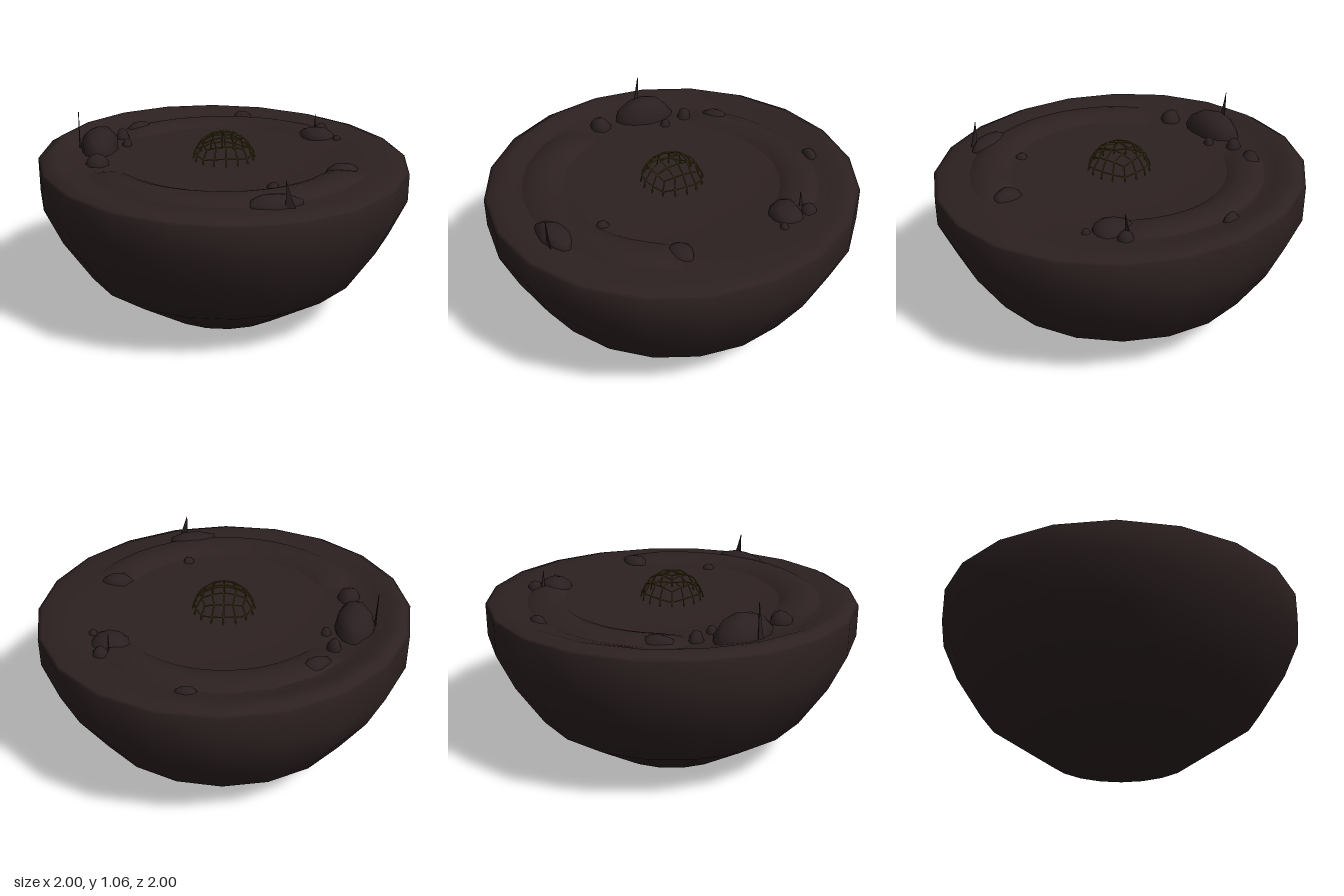
import * as THREE from 'three';
import { mergeGeometries, mergeVertices } from 'three/addons/utils/BufferGeometryUtils.js';

const earth = new THREE.MeshStandardMaterial({ name: 'dark earth', color: 0x2d2121 });
const stone = new THREE.MeshStandardMaterial({ name: 'dark stone', color: 0x2b2021 });
const wire = new THREE.MeshStandardMaterial({ name: 'dull brass', color: 0x50461a });
const blade = new THREE.MeshStandardMaterial({ name: 'shard stone', color: 0x2a1f20, side: THREE.DoubleSide });

const ramp = (a, b, v) => THREE.MathUtils.smoothstep(v, a, b);

// Ground height: sunken plain inside a tilted rolling lip
function groundHeight(x, z) {
  const r = Math.hypot(x, z);
  const plain = 0.845 + 0.01 * ramp(0.4, 0.85, r);
  const rim = 0.85 - 0.015 * x - 0.02 * z;
  const lip = rim + (0.027 - 0.0125 * x) * (1 - ramp(0.93, 1, r));
  return THREE.MathUtils.lerp(plain, lip, ramp(0.76, 0.93, r));
}

// Drop uvs and normals, weld, and shade smoothly
function smooth(geo) {
  geo.deleteAttribute('uv');
  geo.deleteAttribute('normal');
  const welded = mergeVertices(geo, 1e-4);
  welded.computeVertexNormals();
  return welded;
}

// Twenty-sided bowl of earth with its modelled top
function buildIsland() {
  const outside = [[0, 0], [0.39, 0], [0.76, 0.25], [0.91, 0.48], [1, 0.68]];
  const top = [1, 0.98, 0.95, 0.91, 0.85, 0.78, 0.6, 0.4, 0];
  const profile = [...outside, ...top.map(r => [r, 0.85])].map(p => new THREE.Vector2(...p));
  const geo = new THREE.LatheGeometry(profile, 20);
  const pos = geo.attributes.position;
  for (let i = 0; i < pos.count; i++) {
    if (pos.getY(i) > 0.8) pos.setY(i, groundHeight(pos.getX(i), pos.getZ(i)));
  }
  const mesh = new THREE.Mesh(smooth(geo), earth);
  mesh.name = 'island';
  return mesh;
}

// Raised crescent: a low mound swept along an arc, sinking at both ends
function buildCrescent(name, from, to, inner, outer, height) {
  const along = 16, across = 6;
  const geo = new THREE.PlaneGeometry(1, 1, across, along);
  const pos = geo.attributes.position;
  for (let i = 0; i < pos.count; i++) {
    const u = pos.getX(i) + 0.5, t = 0.5 - pos.getY(i);
    const angle = THREE.MathUtils.degToRad(THREE.MathUtils.lerp(from, to, t));
    const end = ramp(0, 0.1, t) * ramp(0, 0.1, 1 - t);
    const r = THREE.MathUtils.lerp(inner, outer, u);
    const x = r * Math.cos(angle), z = r * Math.sin(angle);
    const rise = Math.pow(Math.sin(Math.PI * u), 0.7) * end;
    pos.setXYZ(i, x, groundHeight(x, z) - 0.006 + (height + 0.006) * rise, z);
  }
  const mesh = new THREE.Mesh(smooth(geo), earth);
  // face the surface upwards
  if (mesh.geometry.attributes.normal.getY(40) < 0) {
    const index = mesh.geometry.index;
    for (let i = 0; i < index.count; i += 3) {
      const a = index.getX(i);
      index.setX(i, index.getX(i + 1));
      index.setX(i + 1, a);
    }
    mesh.geometry.computeVertexNormals();
  }
  mesh.name = name;
  return mesh;
}

// Irregular boulder, smooth shaded
function buildRock(x, z, rx, rz, topY, turn, seed) {
  const geo = smooth(new THREE.IcosahedronGeometry(1, 1));
  const pos = geo.attributes.position;
  for (let i = 0; i < pos.count; i++) {
    const k = 0.96 + 0.1 * Math.sin(i * 2.7 + seed * 1.9);
    pos.setXYZ(i, pos.getX(i) * k, pos.getY(i), pos.getZ(i) * k);
  }
  const base = groundHeight(x, z) - 0.01;
  geo.scale(rx, topY - base, rz);
  geo.computeVertexNormals();
  const mesh = new THREE.Mesh(geo, stone);
  mesh.position.set(x, base, z);
  mesh.rotation.y = turn;
  mesh.name = 'rock';
  return mesh;
}

// Thin upright shard with one vertical edge
function buildShard(x, z, width, base, tip, turn) {
  const shape = new THREE.Shape([
    new THREE.Vector2(0, base), new THREE.Vector2(width, base),
    new THREE.Vector2(width * 0.5, base + (tip - base) * 0.47), new THREE.Vector2(0, tip),
  ]);
  const geo = new THREE.ExtrudeGeometry(shape, { depth: 0.004, bevelEnabled: false });
  geo.translate(0, 0, -0.002);
  const mesh = new THREE.Mesh(geo, blade);
  mesh.position.set(x, 0, z);
  mesh.rotation.y = turn;
  mesh.name = 'shard';
  return mesh;
}

// Square-celled wire dome: the upper half of a rounded cube
function buildDome() {
  const radius = 0.172, centreY = 0.82, n = 4;
  const up = new THREE.Vector3(0, 1, 0);
  const rods = [];
  const addRod = (p, q) => {
    const a = p.clone().normalize().multiplyScalar(radius);
    const b = q.clone().normalize().multiplyScalar(radius);
    const d = b.clone().sub(a);
    const geo = new THREE.CylinderGeometry(0.004, 0.004, d.length(), 4);
    geo.applyQuaternion(new THREE.Quaternion().setFromUnitVectors(up, d.normalize()));
    const m = a.add(b).multiplyScalar(0.5);
    rods.push(geo.translate(m.x, m.y + centreY, m.z));
  };
  const at = i => Math.tan((i / n - 0.5) * Math.PI / 2);
  // top face
  for (let i = 0; i <= n; i++) for (let j = 0; j < n; j++) {
    addRod(new THREE.Vector3(at(i), 1, at(j)), new THREE.Vector3(at(i), 1, at(j + 1)));
    addRod(new THREE.Vector3(at(j), 1, at(i)), new THREE.Vector3(at(j + 1), 1, at(i)));
  }
  // four sides
  for (let s = 0; s < 4; s++) {
    const p = (u, v) => new THREE.Vector3(at(u), at(v), 1).applyAxisAngle(up, s * Math.PI / 2);
    for (let i = 0; i < n; i++) for (let v = n / 2; v < n; v++) {
      addRod(p(i, v), p(i, v + 1));
      addRod(p(i, v), p(i + 1, v));
    }
  }
  const mesh = new THREE.Mesh(mergeGeometries(rods), wire);
  mesh.name = 'wireDome';
  return mesh;
}

export function createModel() {
  const model = new THREE.Group();
  model.name = 'floatingIsland';
  model.add(
    buildIsland(),
    buildDome(),
    buildCrescent('frontCrescent', 22, 164, 0.57, 0.81, 0.036),
    buildCrescent('backCrescent', -144, -30, 0.57, 0.79, 0.032),
  );

  // x, z, half width, half depth, top height, turn
  const rocks = [
    [-0.68, -0.19, 0.115, 0.175, 0.98, -0.1],
    [-0.68, 0.1, 0.065, 0.06, 0.915, 0.4],
    [-0.56, -0.39, 0.04, 0.045, 0.91, 0],
    [-0.53, -0.25, 0.03, 0.03, 0.89, 0],
    [-0.46, -0.55, 0.09, 0.055, 0.905, 0.6],
    [0.17, -0.78, 0.06, 0.037, 0.895, 0],
    [0.61, -0.46, 0.045, 0.045, 0.90, 0.5],
    [0.57, -0.35, 0.115, 0.09, 0.905, -0.5],
    [0.67, -0.27, 0.025, 0.025, 0.88, 0],
    [0.6, 0.28, 0.09, 0.068, 0.89, 0],
    [0.21, 0.51, 0.035, 0.035, 0.875, 0],
    [0.19, 0.76, 0.15, 0.085, 0.905, 0.2],
  ];
  const rockGroup = new THREE.Group();
  rockGroup.name = 'rocks';
  rocks.forEach((r, i) => rockGroup.add(buildRock(...r, i)));

  const shards = new THREE.Group();
  shards.name = 'shards';
  shards.add(
    buildShard(-0.79, -0.205, 0.04, 0.86, 1.06, -Math.PI / 2),
    buildShard(0.23, 0.82, 0.055, 0.83, 0.99, 0),
    buildShard(0.57, -0.43, 0.03, 0.85, 0.96, Math.PI / 2),
  );
  model.add(rockGroup, shards);
  return model;
}
